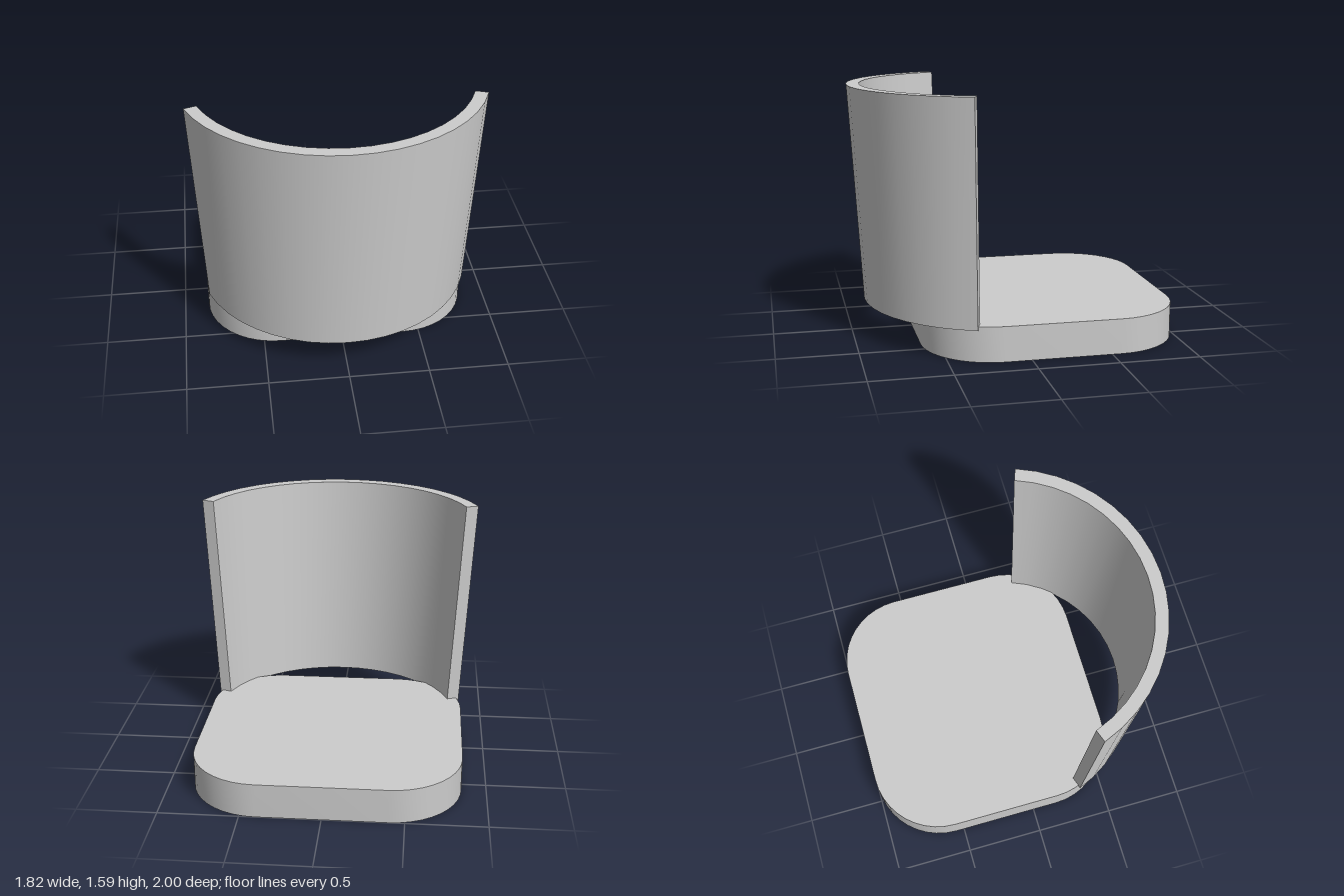
import * as THREE from 'three';
import { toCreasedNormals } from 'three/addons/utils/BufferGeometryUtils.js';

const CREASE = Math.PI / 6;

// Rounded slab, lying flat with its underside on y = 0
function seatGeometry() {
  const w = 0.845, front = 0.61, back = -1, r = 0.445, height = 0.22;
  const shape = new THREE.Shape();
  // Shape y becomes -z once the slab is laid down
  const corners = [
    [w - r, -back - r, 0],
    [r - w, -back - r, 1],
    [r - w, r - front, 2],
    [w - r, r - front, 3],
  ];
  for (const [x, y, quarter] of corners) {
    const start = quarter * Math.PI / 2;
    shape.absarc(x, y, r, start, start + Math.PI / 2, false);
  }
  shape.closePath();
  const geometry = new THREE.ExtrudeGeometry(shape, { depth: height, bevelEnabled: false, curveSegments: 5 });
  geometry.rotateX(-Math.PI / 2);
  return toCreasedNormals(geometry, CREASE);
}

// Box bent round a vertical axis and flared towards the top
function backrestGeometry() {
  const halfAngle = THREE.MathUtils.degToRad(70.3);
  const bottom = 0.2, top = 1.585, centreZ = 0.03;
  const geometry = new THREE.BoxGeometry(2, 1, 1, 18, 1, 1);
  const p = geometry.attributes.position;
  for (let i = 0; i < p.count; i++) {
    const angle = p.getX(i) * halfAngle;
    const t = p.getY(i) + 0.5;
    const radius = 0.803 + 0.082 * t + 0.082 * (p.getZ(i) + 0.5);
    p.setXYZ(i, radius * Math.sin(angle), bottom + (top - bottom) * t, centreZ + radius * Math.cos(angle));
  }
  return toCreasedNormals(geometry, CREASE);
}

export function createModel() {
  const model = new THREE.Group();
  model.name = 'chair';
  const grey = new THREE.MeshStandardMaterial({ color: 0xcccccc });
  grey.name = 'light grey';

  const seat = new THREE.Mesh(seatGeometry(), grey);
  seat.name = 'seat';
  const backrest = new THREE.Mesh(backrestGeometry(), grey);
  backrest.name = 'backrest';

  model.add(seat, backrest);
  return model;
}
